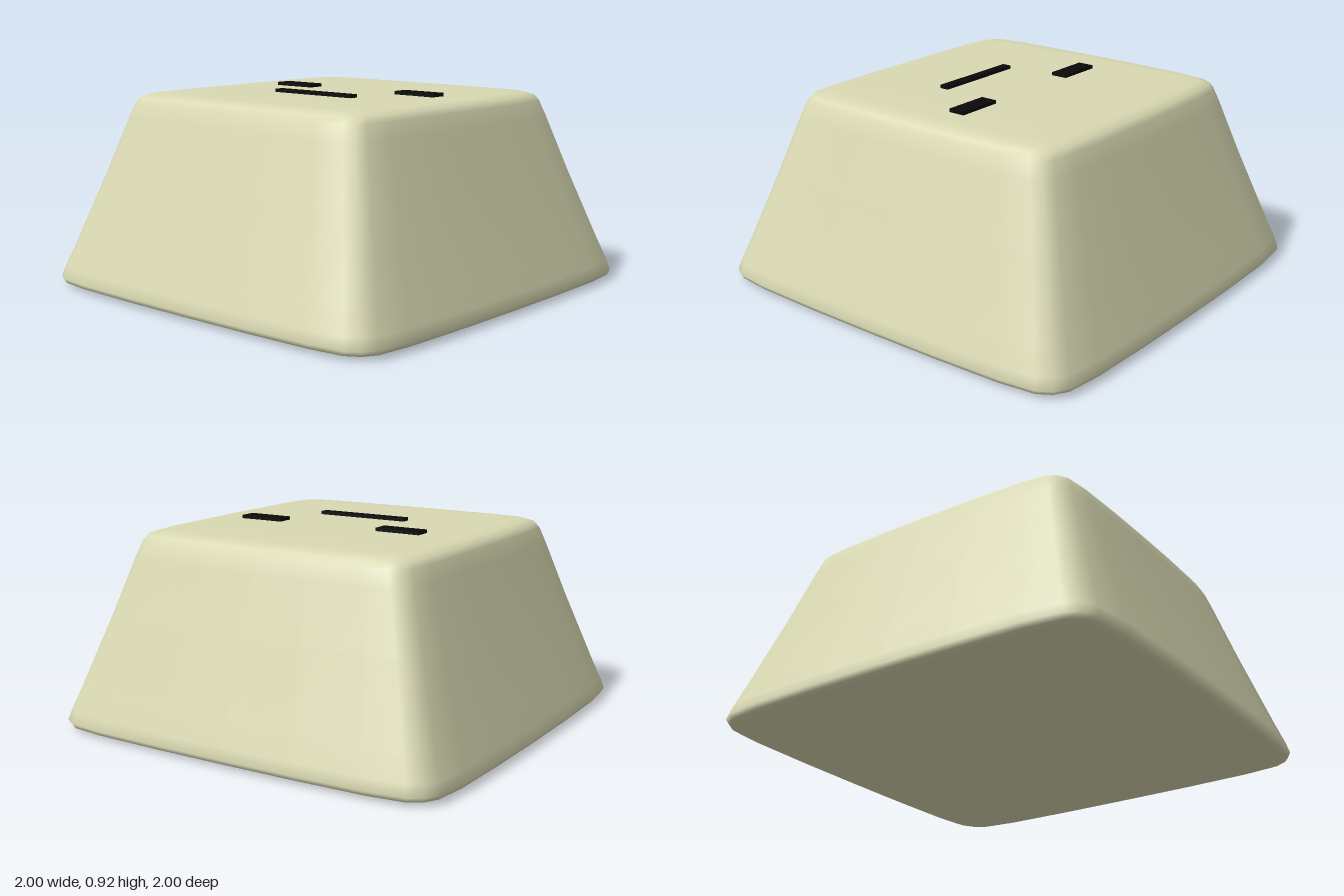
import * as THREE from 'three';

// Tapered block with soft edges: one rounded-square outline scaled along a profile
function taperedBlock(profile, quarter) {
  const outline = [];
  for (let k = 0; k < 4; k++) {
    for (const [x, z] of quarter) {
      let p = [x, z];
      for (let r = 0; r < k; r++) p = [-p[1], p[0]];
      outline.push(p);
    }
  }
  const n = outline.length, positions = [], index = [];
  profile.forEach(([s, y], i) => {
    outline.forEach(([x, z], j) => {
      positions.push(x * s, y, z * s);
      if (i === profile.length - 1) return;
      const a = i * n + j, b = i * n + (j + 1) % n;
      index.push(a, a + n, b, b, a + n, b + n);
    });
  });
  const geometry = new THREE.BufferGeometry();
  geometry.setAttribute('position', new THREE.Float32BufferAttribute(positions, 3));
  geometry.setIndex(index);
  geometry.computeVertexNormals();
  return geometry;
}

export function createModel() {
  const group = new THREE.Group();
  const cream = new THREE.MeshStandardMaterial({ color: 0xd9d9b3 });
  const black = new THREE.MeshStandardMaterial({ color: 0x0a0a0a });

  // Body: half-width and height from the base centre to the top centre
  const profile = [
    [0, 0], [0.4, 0], [0.73, 0.002], [0.88, 0.006], [0.96, 0.01], [0.988, 0.018], [1, 0.04],
    [0.985, 0.09], [0.95, 0.185], [0.83, 0.53], [0.745, 0.79], [0.72, 0.86],
    [0.702, 0.885], [0.665, 0.9], [0.6, 0.904], [0.4, 0.905], [0, 0.905],
  ];
  const quarter = [
    [1, 0], [0.998, 0.35], [0.988, 0.7], [0.967, 0.87],
    [0.93, 0.93], [0.87, 0.967], [0.7, 0.988], [0.35, 0.998],
  ];
  const body = new THREE.Mesh(taperedBlock(profile, quarter), cream);
  body.name = 'body';
  group.add(body);

  // Face bars lying on the top
  const bars = [
    ['rightEye', -0.34, -0.09, 0.22, 0.08],
    ['leftEye', 0.40, -0.09, 0.22, 0.08],
    ['mouth', 0.03, 0.2, 0.46, 0.045],
  ];
  for (const [name, x, z, width, depth] of bars) {
    const bar = new THREE.Mesh(new THREE.BoxGeometry(width, 0.03, depth), black);
    bar.name = name;
    bar.position.set(x, 0.905, z);
    group.add(bar);
  }
  return group;
}
